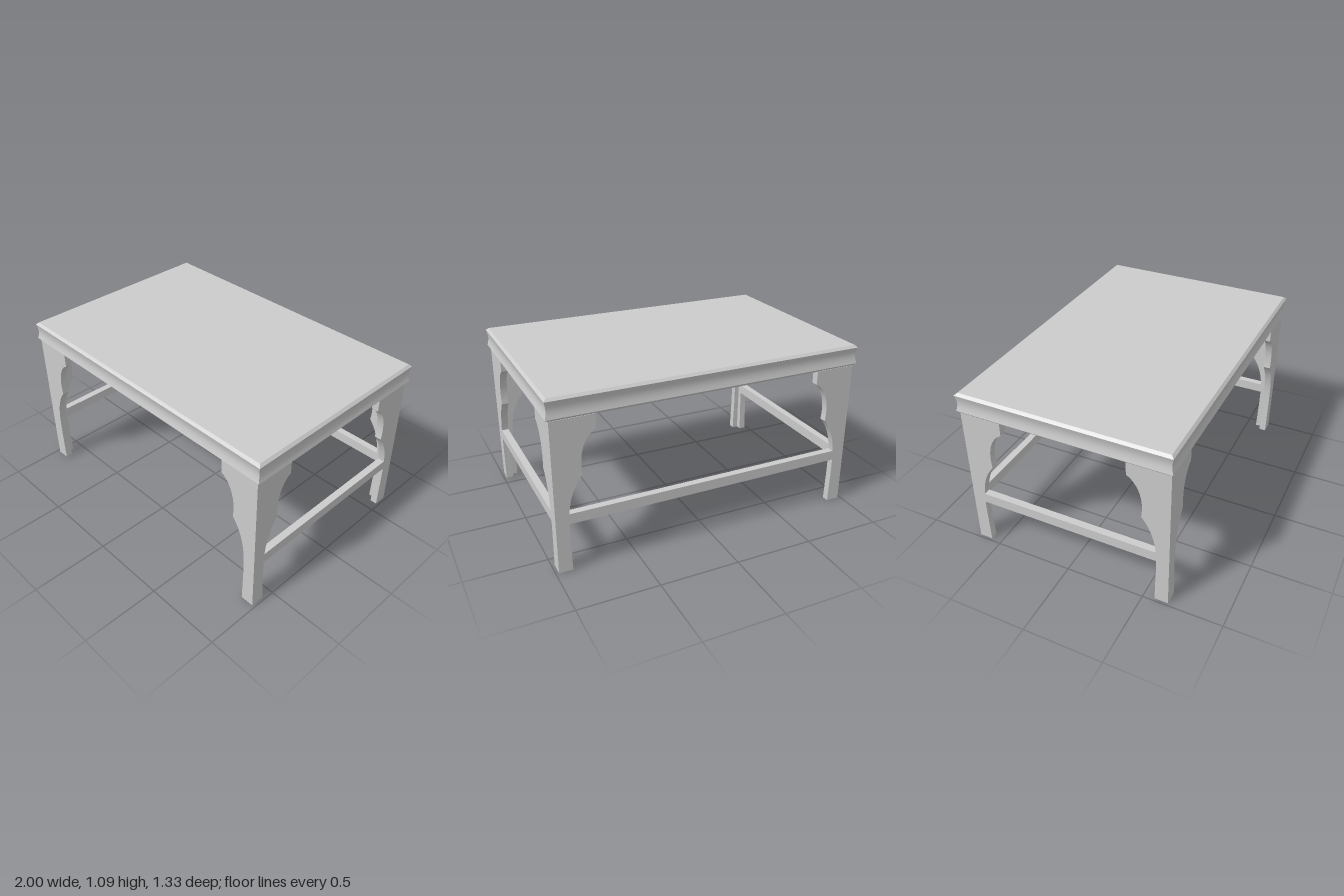
import * as THREE from 'three';
import { toCreasedNormals } from 'three/addons/utils/BufferGeometryUtils.js';

const material = new THREE.MeshStandardMaterial({ color: 0xcccccc });
const LEG_X = 0.982, LEG_Z = 0.655; // outer faces of the legs
const LEG_TOP = 0.957, THICK = 0.045;

function addMesh(parent, name, geometry) {
  const mesh = new THREE.Mesh(geometry, material);
  mesh.name = name;
  parent.add(mesh);
  return mesh;
}

// Slab whose edge follows a moulding of [inset, y] points: bevel, shallow cove, bevel
function tabletopGeometry() {
  const profile = [[0.016, 0.955], [0.014, 0.96], [0, 0.972]];
  const steps = 8;
  for (let i = 1; i < steps; i++) {
    const t = i / steps;
    profile.push([0.009 * Math.sin(Math.PI * t), 0.972 + 0.103 * t]);
  }
  profile.push([0, 1.075], [0.016, 1.09]);
  const rows = profile.length - 1;
  const geometry = new THREE.BoxGeometry(2, 1, 1.334, 1, rows, 1);
  const pos = geometry.attributes.position;
  for (let i = 0; i < pos.count; i++) {
    const [inset, y] = profile[Math.round((pos.getY(i) + 0.5) * rows)];
    const x = pos.getX(i), z = pos.getZ(i);
    pos.setXYZ(i, x - Math.sign(x) * inset, y, z - Math.sign(z) * inset);
  }
  return toCreasedNormals(geometry, 0.5);
}

// Leg board with a curved bracket, its straight outer edge at x = start
function legBoardGeometry(start) {
  const shape = new THREE.Shape();
  shape.moveTo(start, 0);
  shape.lineTo(0.086, 0);
  shape.lineTo(0.08, 0.22);
  shape.lineTo(0.08, 0.3);
  shape.bezierCurveTo(0.08, 0.45, 0.115, 0.54, 0.173, 0.607);
  shape.bezierCurveTo(0.155, 0.72, 0.185, 0.83, 0.262, 0.87);
  shape.lineTo(0.262, LEG_TOP);
  shape.lineTo(start, LEG_TOP);
  const geometry = new THREE.ExtrudeGeometry(shape, {
    depth: THICK, bevelEnabled: false, curveSegments: 14,
  });
  return toCreasedNormals(geometry, 0.5);
}

export function createModel() {
  const table = new THREE.Group();
  table.name = 'table';

  addMesh(table, 'tabletop', tabletopGeometry());

  // Four L-shaped corner legs, each turned a quarter from the last
  const boardA = legBoardGeometry(0);
  const boardB = legBoardGeometry(THICK).rotateY(-Math.PI / 2).translate(THICK, 0, 0);
  const corners = [
    ['backRightLeg', -1, -1], ['backLeftLeg', 1, -1],
    ['frontLeftLeg', 1, 1], ['frontRightLeg', -1, 1],
  ];
  corners.forEach(([name, sx, sz], i) => {
    const leg = new THREE.Group();
    leg.name = name;
    // Turning clockwise from above walks the corner round the table
    leg.rotation.y = -i * Math.PI / 2;
    leg.position.set(sx * LEG_X, 0, sz * LEG_Z);
    addMesh(leg, 'longSideBoard', i % 2 ? boardB : boardA);
    addMesh(leg, 'shortSideBoard', i % 2 ? boardA : boardB);
    table.add(leg);
  });

  // Stretchers along the back and both short sides; the front stays open
  const height = 0.065, y = 0.342, half = THICK / 2;
  const back = new THREE.BoxGeometry(2 * (LEG_X - 0.079), height, THICK);
  addMesh(table, 'backStretcher', back).position.set(0, y, half - LEG_Z);
  const side = new THREE.BoxGeometry(THICK, height, 2 * (LEG_Z - 0.079));
  for (const s of [-1, 1]) {
    addMesh(table, s > 0 ? 'leftStretcher' : 'rightStretcher', side)
      .position.set(s * (LEG_X - half), y, 0);
  }
  return table;
}
